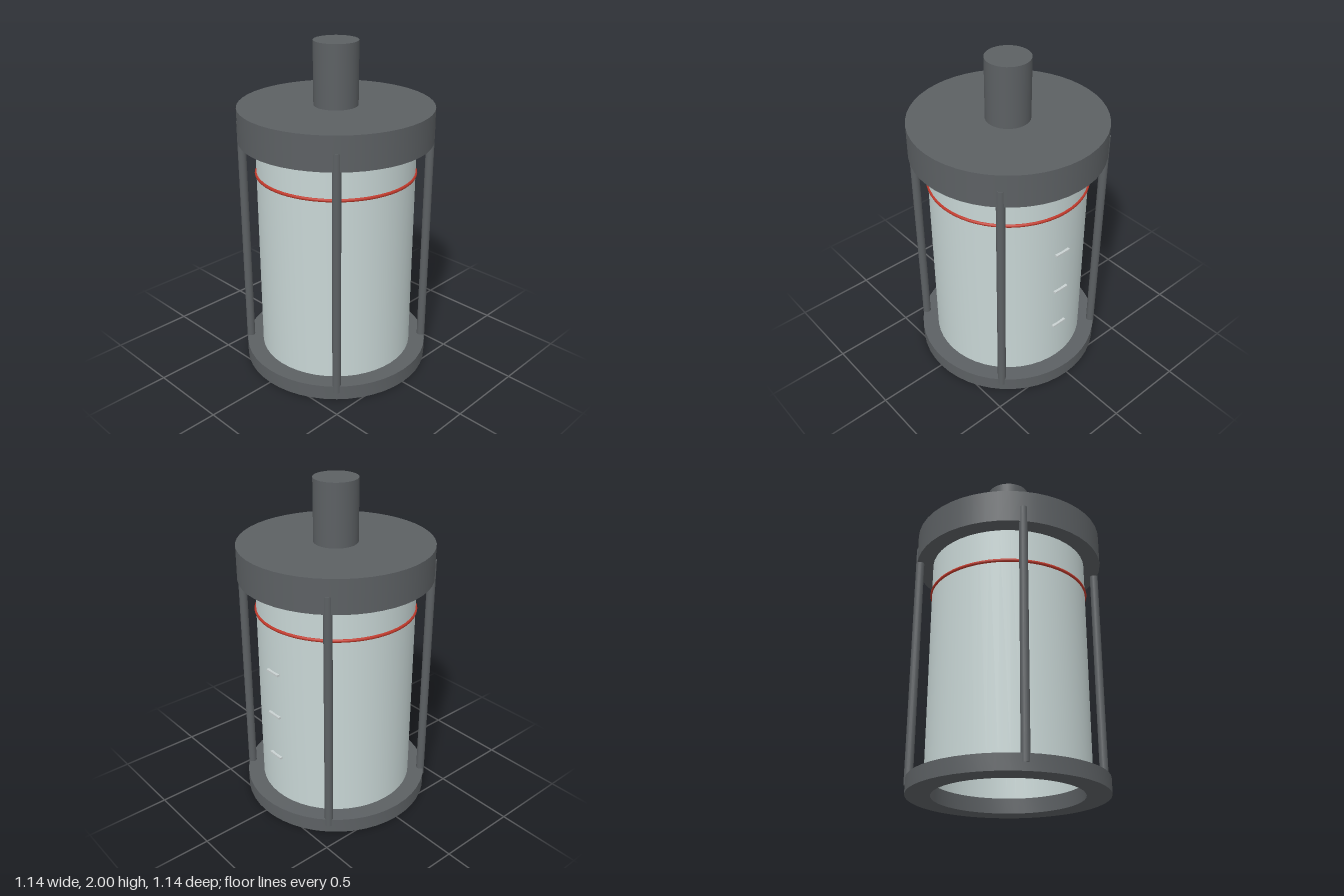
import * as THREE from 'three';
import { toCreasedNormals } from 'three/addons/utils/BufferGeometryUtils.js';

const SEGMENTS = 48;

function material(name, color) {
  const m = new THREE.MeshStandardMaterial({ color });
  m.name = name;
  return m;
}

// Hollow cylinder with square edges
function ring(inner, outer, bottom, top) {
  const profile = [
    [inner, bottom], [outer, bottom], [outer, top], [inner, top], [inner, bottom],
  ].map(([r, y]) => new THREE.Vector2(r, y));
  return toCreasedNormals(new THREE.LatheGeometry(profile, SEGMENTS), Math.PI / 6);
}

function cylinder(radius, bottom, top, segments = SEGMENTS) {
  return new THREE.CylinderGeometry(radius, radius, top - bottom, segments)
    .translate(0, (bottom + top) / 2, 0);
}

export function createModel() {
  const model = new THREE.Group();
  model.name = 'cylinderChamber';

  const metal = material('dark grey metal', 0x5c6063);
  const glass = material('pale glass', 0xc8d6d5);
  const red = material('red seal', 0xc0392b);
  const mark = material('light grey mark', 0xc9d1d1);

  function add(name, geometry, mat) {
    const mesh = new THREE.Mesh(geometry, mat);
    mesh.name = name;
    model.add(mesh);
    return mesh;
  }

  // Open base ring, clear barrel, lid and plunger stem
  add('baseRing', ring(0.43, 0.57, 0, 0.09), metal);
  add('barrel', ring(0.43, 0.47, 0.09, 1.43), glass);
  add('lid', cylinder(0.57, 1.43, 1.63), metal);
  add('stem', cylinder(0.13, 1.63, 2, 32), metal);

  // Red seal around the barrel
  const seal = new THREE.TorusGeometry(0.47, 0.01, 8, 64).rotateX(Math.PI / 2);
  add('sealRing', seal.translate(0, 1.23, 0), red);

  // Four tie rods, half sunk into the rims
  for (const x of [-0.39, 0.39]) {
    for (const z of [-0.39, 0.39]) {
      add('tieRod', cylinder(0.025, 0.045, 1.53, 16), metal).position.set(x, 0, z);
    }
  }

  // Measuring marks on the left side
  for (const y of [0.375, 0.66, 0.945]) {
    add('measuringMark', new THREE.BoxGeometry(0.02, 0.012, 0.1), mark).position.set(0.474, y, 0);
  }

  return model;
}
